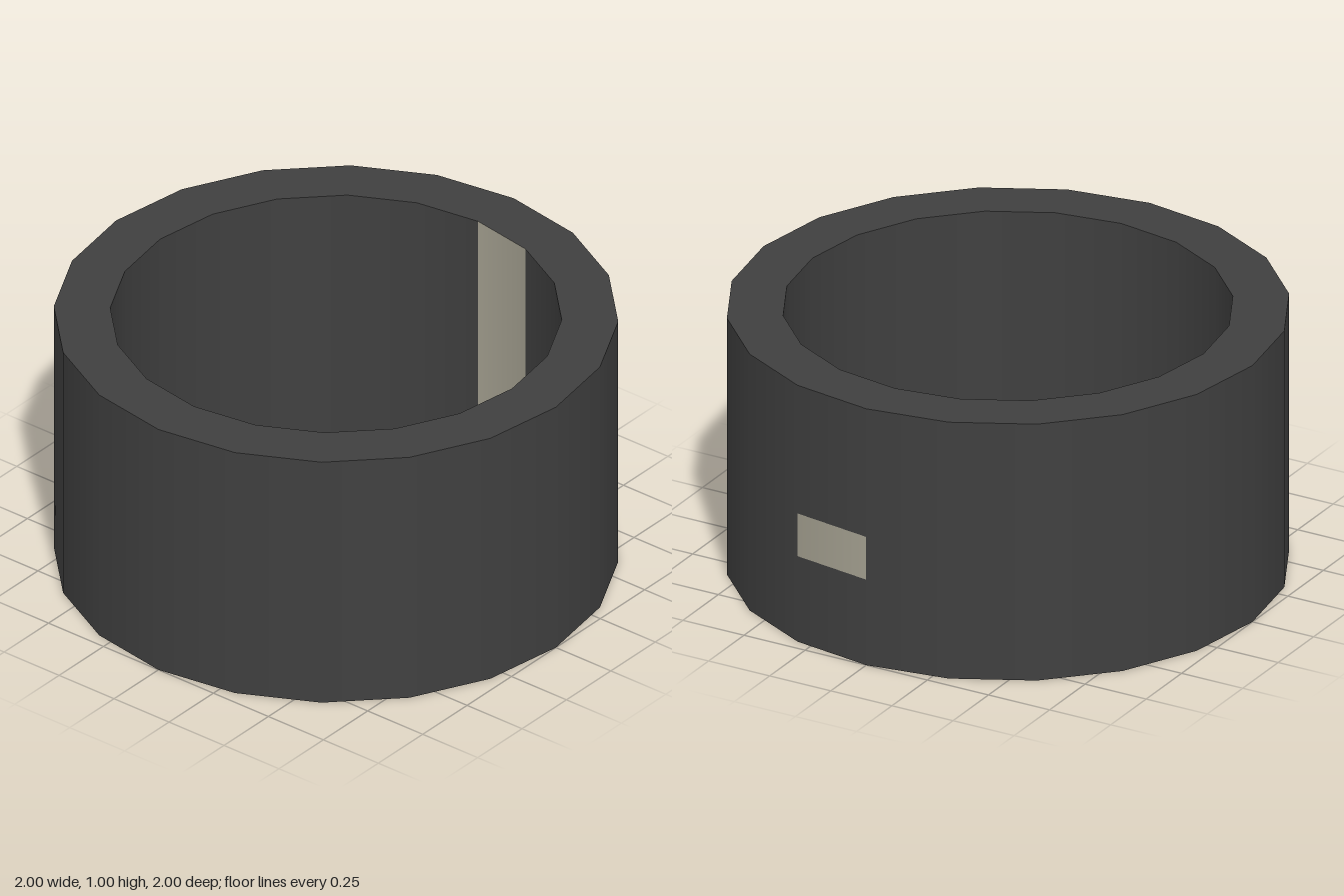
import * as THREE from 'three';

const SIDES = 20;
const STEP = (Math.PI * 2) / SIDES;
const OUTER = 1, INNER = 0.8, HEIGHT = 1;

export function createModel() {
  const group = new THREE.Group();
  const DARK = 0x404040, LIGHT = 0xa6a292;
  const material = (color, side = THREE.FrontSide) => new THREE.MeshStandardMaterial({ color, side });

  const add = (name, geometry, mat) => {
    const mesh = new THREE.Mesh(geometry, mat);
    mesh.name = name;
    group.add(mesh);
    return mesh;
  };

  // upright wall made of `count` facets, starting at facet `first`
  const wall = (name, radius, y0, y1, first, count, color, side) => {
    const g = new THREE.CylinderGeometry(radius, radius, y1 - y0, count, 1, true, first * STEP, count * STEP);
    g.translate(0, (y0 + y1) / 2, 0);
    add(name, g, material(color, side));
  };

  // outer wall: one facet on the left side carries a pale panel
  const low = HEIGHT / 3, high = HEIGHT / 2;
  wall('outerWall', OUTER, 0, HEIGHT, 5, 19, DARK);
  wall('wallBelowPanel', OUTER, 0, low, 4, 1, DARK);
  wall('outerPanel', OUTER, low, high, 4, 1, LIGHT);
  wall('wallAbovePanel', OUTER, high, HEIGHT, 4, 1, DARK);

  // inner wall with a pale strip behind the panel
  wall('innerWall', INNER, 0, HEIGHT, 5, 19, DARK, THREE.BackSide);
  wall('innerStrip', INNER, 0, HEIGHT, 4, 1, LIGHT, THREE.BackSide);

  // flat rims, top and bottom
  for (const [name, y, turn] of [['topRim', HEIGHT, -1], ['bottomRim', 0, 1]]) {
    const g = new THREE.RingGeometry(INNER, OUTER, SIDES);
    g.rotateX((turn * Math.PI) / 2).translate(0, y, 0);
    add(name, g, material(DARK));
  }

  // floor flush with the underside
  const floor = new THREE.CircleGeometry(INNER, SIDES).rotateX(-Math.PI / 2);
  add('floor', floor, material(LIGHT, THREE.DoubleSide));

  // dark wedges at the middle of the floor
  for (const [first, count] of [[3, 1], [-4, 3]]) {
    const g = new THREE.CircleGeometry(0.2, count, first * STEP, count * STEP);
    g.rotateX(-Math.PI / 2).translate(0, 0.003, 0);
    add('floorWedge', g, material(DARK));
  }

  return group;
}
